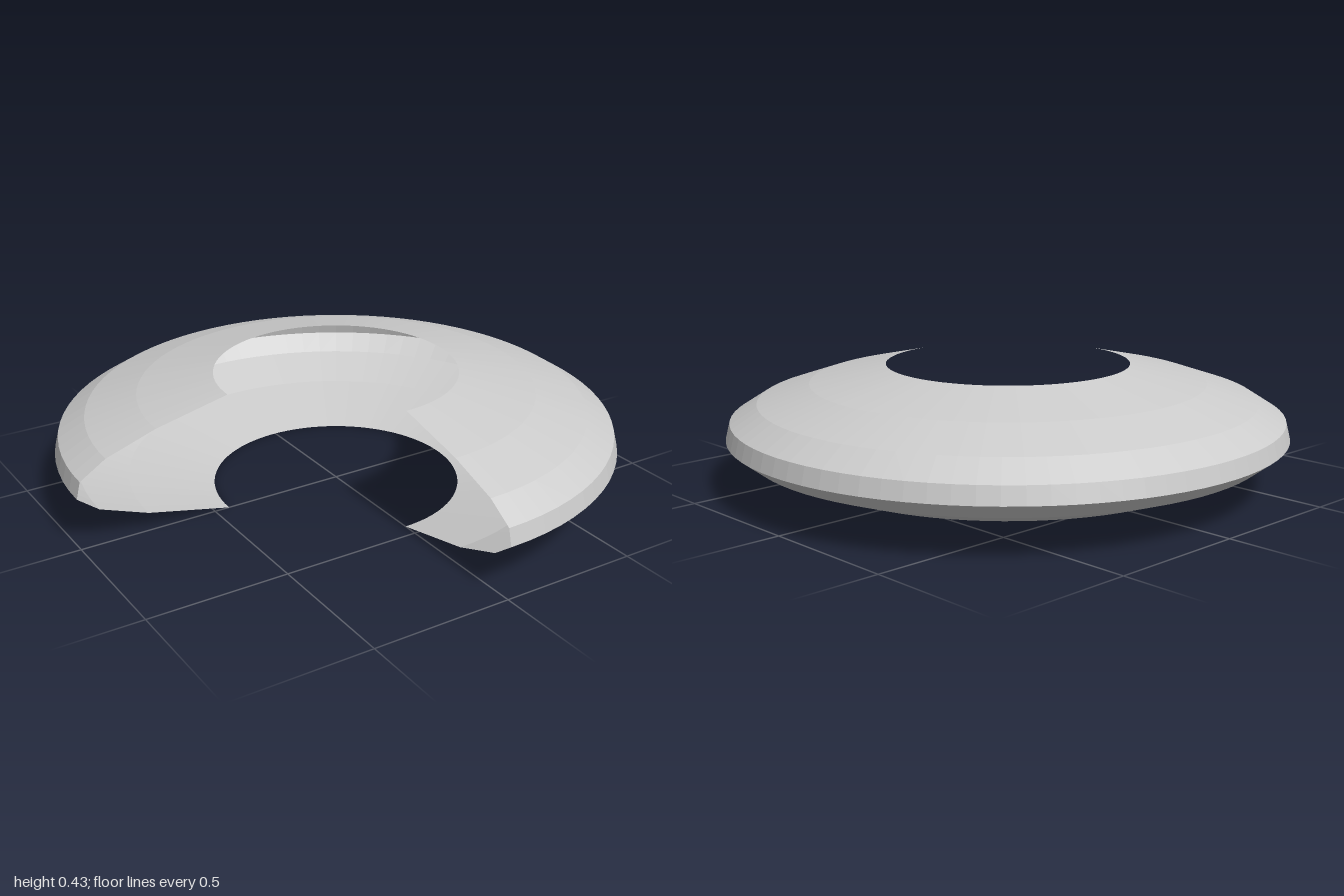
import * as THREE from 'three';

// Faceted cross-section as [radius, height], from the lower hole round the rim to the upper hole
const PROFILE = [
  [0.445, 0], [0.75, 0.066], [0.925, 0.13], [1, 0.187],
  [0.985, 0.247], [0.89, 0.307], [0.706, 0.369], [0.435, 0.43],
];

export function createModel() {
  const model = new THREE.Group();
  model.name = 'openRingShell';

  // Thin hollow shell swept through three quarters of a turn, leaving the front right quarter open
  const points = PROFILE.map(([r, y]) => new THREE.Vector2(r, y));
  const geometry = new THREE.LatheGeometry(points, 64, 0, Math.PI * 1.5);
  const material = new THREE.MeshStandardMaterial({
    color: 0xcccccc, flatShading: true, side: THREE.DoubleSide,
  });
  const shell = new THREE.Mesh(geometry, material);
  shell.name = 'ringShell';
  model.add(shell);

  return model;
}
